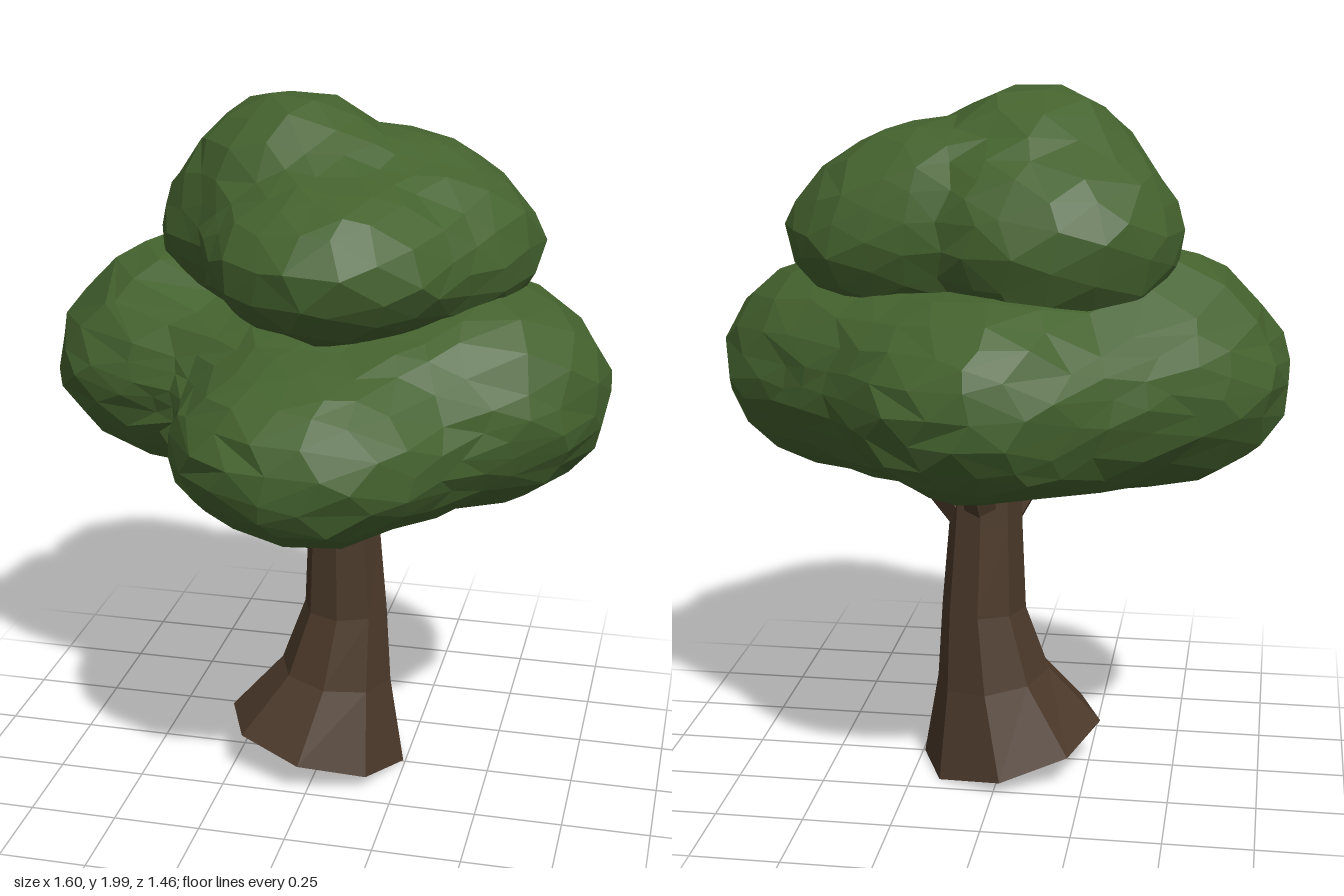
import * as THREE from 'three';

const SIDES = 8;

// Soft union of ellipsoid lobes [x, y, z, rx, ry, rz]: negative inside
function lobeField(p, lobes) {
  const k = 0.028;
  let sum = 0;
  for (const [x, y, z, rx, ry, rz] of lobes) {
    const d = (Math.hypot((p.x - x) / rx, (p.y - y) / ry, (p.z - z) / rz) - 1) * Math.min(rx, ry, rz);
    sum += Math.exp(-d / k);
  }
  return -k * Math.log(sum);
}

// Faceted leaf mass: a sphere shrink-wrapped onto its lobes from the outside
function leafMass(name, centre, flatness, detail, lobes, material) {
  const geo = new THREE.IcosahedronGeometry(1, detail);
  const attr = geo.attributes.position;
  const c = new THREE.Vector3(...centre);
  const v = new THREE.Vector3(), p = new THREE.Vector3();
  const step = 0.01;
  for (let i = 0; i < attr.count; i++) {
    v.fromBufferAttribute(attr, i);
    const { x, y, z } = v;
    // Uneven facets
    v.x += 0.05 * Math.sin(13 * y + 9 * z);
    v.y += 0.05 * Math.sin(11 * z + 14 * x);
    v.z += 0.05 * Math.sin(12 * x + 10 * y);
    v.y *= flatness;
    v.normalize();
    const bump = 0.01 * Math.sin(11 * x + 5 * y) * Math.sin(9 * z - 7 * y);
    let t = 1, before = 1, now = 1;
    while (t > 0.05) {
      now = lobeField(p.copy(c).addScaledVector(v, t), lobes);
      if (now <= 0) break;
      before = now;
      t -= step;
    }
    t += step * now / (now - before) + bump;
    p.copy(c).addScaledVector(v, t);
    attr.setXYZ(i, p.x, p.y, p.z);
  }
  geo.computeVertexNormals();
  const mesh = new THREE.Mesh(geo, material);
  mesh.name = name;
  return mesh;
}

// Open tube through rings of [cx, cy, cz, rx, rz, tiltX, tiltZ]
function trunkGeometry(rings) {
  const pos = [], idx = [];
  for (const [cx, cy, cz, rx, rz, tx, tz] of rings) {
    for (let i = 0; i < SIDES; i++) {
      const a = i / SIDES * Math.PI * 2;
      const dx = Math.cos(a) * rx, dz = Math.sin(a) * rz;
      pos.push(cx + dx, Math.max(0, cy + tx * dx + tz * dz), cz + dz);
    }
  }
  for (let r = 0; r < rings.length - 1; r++) {
    for (let i = 0; i < SIDES; i++) {
      const a = r * SIDES + i, b = r * SIDES + (i + 1) % SIDES;
      idx.push(a, a + SIDES, b, b, a + SIDES, b + SIDES);
    }
  }
  const geo = new THREE.BufferGeometry();
  geo.setAttribute('position', new THREE.Float32BufferAttribute(pos, 3));
  geo.setIndex(idx);
  geo.computeVertexNormals();
  return geo;
}

// Tapered limb between two points
function branch(name, from, to, r0, r1, material) {
  const a = new THREE.Vector3(...from), b = new THREE.Vector3(...to);
  const dir = b.clone().sub(a);
  const mesh = new THREE.Mesh(new THREE.CylinderGeometry(r1, r0, dir.length(), 6), material);
  mesh.name = name;
  mesh.position.copy(a).add(b).multiplyScalar(0.5);
  mesh.quaternion.setFromUnitVectors(new THREE.Vector3(0, 1, 0), dir.normalize());
  return mesh;
}

export function createModel() {
  const leaf = new THREE.MeshStandardMaterial({ color: 0x44622e, flatShading: true });
  leaf.name = 'leafGreen';
  const bark = new THREE.MeshStandardMaterial({ color: 0x4b392a, flatShading: true, side: THREE.DoubleSide });
  bark.name = 'barkBrown';

  const tree = new THREE.Group();
  tree.name = 'tree';

  // Flared trunk with a slanted foot
  const trunk = new THREE.Mesh(trunkGeometry([
    [-0.02, 0.066, -0.003, 0.264, 0.268, -0.245, 0.11],
    [0.032, 0.28, -0.025, 0.165, 0.175, -0.12, 0.05],
    [0.058, 0.49, -0.035, 0.123, 0.125, 0, 0],
    [0.053, 0.75, -0.028, 0.106, 0.11, 0, 0],
    [0.048, 1.05, -0.02, 0.09, 0.092, 0, 0],
  ]), bark);
  trunk.name = 'trunk';
  tree.add(trunk);

  // Limbs reaching into the leaves
  const limbs = new THREE.Group();
  limbs.name = 'branches';
  limbs.add(
    branch('leftBranch', [0.09, 0.75, -0.03], [0.31, 1.02, -0.03], 0.06, 0.055, bark),
    branch('rightBranch', [0.02, 0.74, -0.01], [-0.15, 1.02, 0.13], 0.06, 0.05, bark),
    branch('backBranch', [0.05, 0.76, -0.06], [0.08, 1.02, -0.2], 0.055, 0.045, bark),
  );
  tree.add(limbs);

  // Two leaf masses, each a union of rounded lobes
  const canopy = new THREE.Group();
  canopy.name = 'canopy';
  canopy.add(
    leafMass('lowerLeaves', [0, 1.2, 0], 0.5, 5, [
      [0, 1.21, 0, 0.42, 0.29, 0.42],
      [-0.42, 1.21, -0.09, 0.385, 0.3, 0.345],
      [-0.42, 1.34, -0.12, 0.27, 0.23, 0.25],
      [0.43, 1.21, 0.01, 0.375, 0.32, 0.365],
      [0.05, 1.14, 0.38, 0.38, 0.25, 0.35],
      [0, 1.21, -0.38, 0.38, 0.29, 0.355],
      [-0.28, 1.21, -0.28, 0.27, 0.27, 0.27],
      [0.28, 1.21, -0.22, 0.27, 0.27, 0.27],
      [0.28, 1.17, 0.22, 0.26, 0.26, 0.26],
    ], leaf),
    leafMass('upperLeaves', [0.03, 1.61, -0.02], 0.75, 4, [
      [-0.15, 1.6, -0.17, 0.36, 0.28, 0.345],
      [0.26, 1.59, -0.07, 0.335, 0.25, 0.325],
      [0.07, 1.6, 0.18, 0.345, 0.22, 0.325],
      [0.15, 1.71, -0.1, 0.27, 0.19, 0.26],
      [-0.1, 1.75, -0.06, 0.27, 0.25, 0.26],
    ], leaf),
  );
  tree.add(canopy);
  return tree;
}
